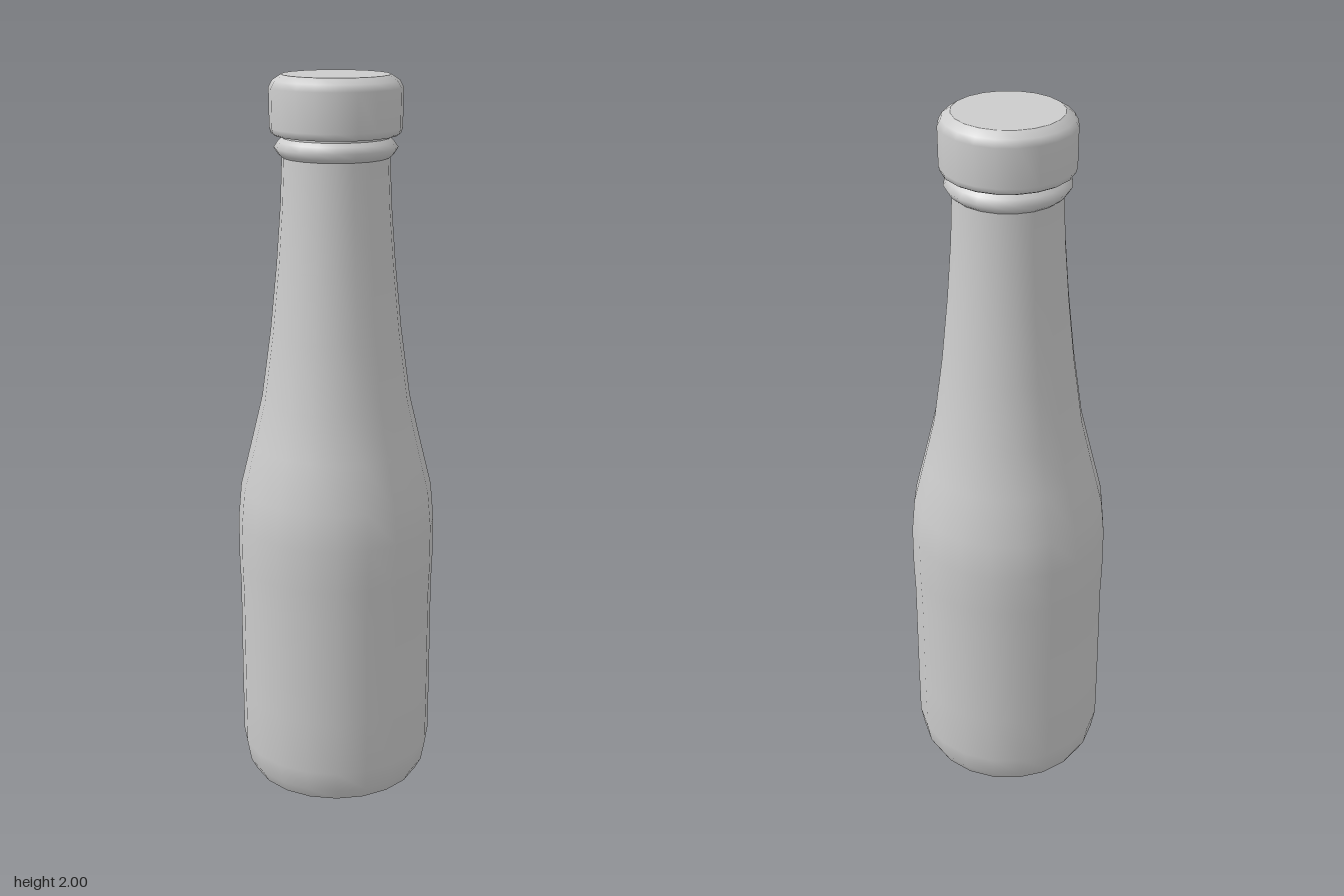
import * as THREE from 'three';

const SIDES = 20;

export function createModel() {
  const model = new THREE.Group();
  const material = new THREE.MeshStandardMaterial({ color: 0xcccccc });

  // Turns a profile of [radius, height] pairs, listed from the bottom up
  function turned(name, profile, parent) {
    const points = profile.map(([r, y]) => new THREE.Vector2(r, y));
    const mesh = new THREE.Mesh(new THREE.LatheGeometry(points, SIDES), material);
    mesh.name = name;
    parent.add(mesh);
  }

  // Bottle: flat base, straight body, sloping shoulder and long neck
  const bottle = new THREE.Group();
  bottle.name = 'bottle';
  turned('base', [[0, 0], [0.243, 0]], bottle);
  turned('body', [
    [0.243, 0], [0.262, 0.035], [0.273, 0.095], [0.274, 0.25], [0.274, 0.56],
    [0.277, 0.65], [0.277, 0.77], [0.268, 0.87], [0.236, 1.0], [0.205, 1.13],
    [0.179, 1.32], [0.161, 1.5], [0.149, 1.66], [0.144, 1.79],
  ], bottle);

  // Ring below the cap, and the mouth running up inside it
  turned('neckRing', [
    [0.144, 1.787], [0.154, 1.795], [0.165, 1.812], [0.154, 1.828], [0.144, 1.838],
  ], bottle);
  turned('mouth', [[0.144, 1.838], [0.144, 1.86]], bottle);

  // Cap: rounded lower edge, straight side, bevelled upper edge, flat top
  const cap = new THREE.Group();
  cap.name = 'cap';
  turned('capUnderside', [[0.135, 1.845], [0.164, 1.845]], cap);
  turned('capSide', [
    [0.164, 1.845], [0.172, 1.85], [0.176, 1.864], [0.177, 1.967], [0.167, 1.985], [0.144, 2],
  ], cap);
  turned('capTop', [[0.144, 2], [0, 2]], cap);

  model.add(bottle, cap);
  return model;
}
